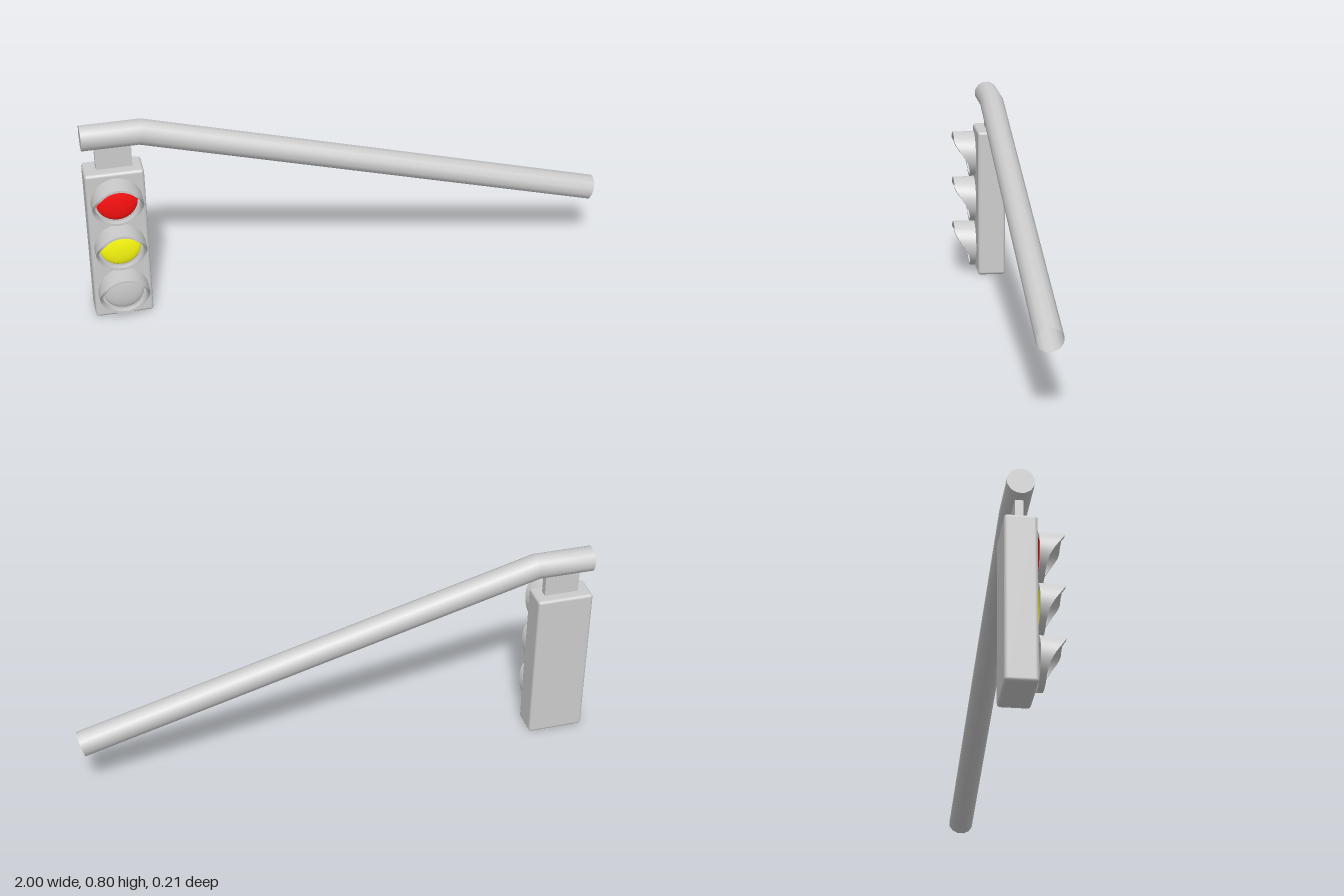
import * as THREE from 'three';
import { toCreasedNormals } from 'three/addons/utils/BufferGeometryUtils.js';
import { RoundedBoxGeometry } from 'three/addons/geometries/RoundedBoxGeometry.js';

const SIGNAL_X = -0.89, MID_Z = -0.047;

function mesh(name, geometry, material, x = 0, y = 0, z = 0) {
  const m = new THREE.Mesh(geometry, material);
  m.name = name;
  m.position.set(x, y, z);
  return m;
}

// Bent pole: a 12-sided tube whose three rings sit at the end, the mitred bend and the tip
function poleGeometry(radius) {
  const start = [-1, 0.7525], bend = [-0.78, 0.7525], tip = [0.987, 0.265];
  const a = Math.atan2(bend[1] - tip[1], tip[0] - bend[0]);
  const rings = [
    { p: start, up: [0, 1] },
    { p: bend, up: [Math.tan(a / 2), 1] },
    { p: tip, up: [Math.sin(a), Math.cos(a)] },
  ];
  const g = new THREE.CylinderGeometry(radius, radius, 2, 12, 2, true).rotateY(Math.PI / 12);
  const pos = g.attributes.position;
  for (let i = 0; i < pos.count; i++) {
    const { p, up } = rings[Math.round(pos.getY(i)) + 1];
    const h = -pos.getX(i);
    pos.setXYZ(i, p[0] + h * up[0], p[1] + h * up[1], pos.getZ(i));
  }
  return toCreasedNormals(g, 0.7);
}

// Side outline of the visor: [height / radius, front z]
const OUTLINE = [[-1, 0.04], [-0.68, 0.041], [-0.32, 0.05], [0, 0.067], [0.42, 0.094], [0.66, 0.107], [1, 0.107]];
function visorFront(t) {
  let k = 1;
  while (k < OUTLINE.length - 1 && t > OUTLINE[k][0]) k++;
  const [t0, z0] = OUTLINE[k - 1], [t1, z1] = OUTLINE[k];
  return THREE.MathUtils.mapLinear(t, t0, t1, z0, z1);
}

// Visor: a thin-walled ring with its front edge cut to the outline
function visorGeometry(outer, inner, back) {
  const n = 40, points = [], index = [];
  for (let i = 0; i < n; i++) {
    const c = Math.cos((i / n) * Math.PI * 2), s = Math.sin((i / n) * Math.PI * 2);
    const front = visorFront(s);
    for (const [r, z] of [[outer, back], [outer, front], [inner, front], [inner, back]]) {
      points.push(c * r, s * r, z);
    }
    for (let k = 0; k < 4; k++) {
      const j = (i + 1) % n, l = (k + 1) % 4;
      const q = [i * 4 + k, j * 4 + k, j * 4 + l, i * 4 + l];
      index.push(q[0], q[1], q[2], q[0], q[2], q[3]);
    }
  }
  const g = new THREE.BufferGeometry();
  g.setAttribute('position', new THREE.Float32BufferAttribute(points, 3));
  g.setIndex(index);
  return toCreasedNormals(g, 0.7);
}

// Lens: a shallow dome facing +z
function lensGeometry(radius, height) {
  const profile = [];
  for (let i = 0; i <= 8; i++) {
    const a = (i / 8) * Math.PI / 2;
    profile.push(new THREE.Vector2(radius * Math.cos(a), height * Math.sin(a)));
  }
  profile[8].x = 0;
  return new THREE.LatheGeometry(profile, 32).rotateX(Math.PI / 2);
}

export function createModel() {
  const model = new THREE.Group();
  model.name = 'trafficLight';
  const grey = new THREE.MeshStandardMaterial({ color: 0xcccccc });
  const greyThin = new THREE.MeshStandardMaterial({ color: 0xcccccc, side: THREE.DoubleSide });
  const lensMaterial = (color) => new THREE.MeshStandardMaterial({ color, side: THREE.DoubleSide });

  // Pole, open at the tip and closed above the signal
  const radius = 0.049;
  model.add(mesh('pole', poleGeometry(radius), greyThin, 0, 0, MID_Z));
  const cap = mesh('poleCap', new THREE.CircleGeometry(radius, 12, Math.PI / 12), grey, -1, 0.7525, MID_Z);
  cap.rotation.y = -Math.PI / 2;
  model.add(cap);

  // Hanger and housing
  model.add(mesh('hanger', new THREE.BoxGeometry(0.135, 0.12, 0.03), grey, SIGNAL_X + 0.005, 0.67, MID_Z));
  model.add(mesh('housing', new RoundedBoxGeometry(0.22, 0.622, 0.115, 3, 0.012), grey, SIGNAL_X, 0.311, MID_Z));

  // Three lights, each with a visor, a rim and a lens
  const visor = visorGeometry(0.0955, 0.086, 0.018);
  const rim = new THREE.RingGeometry(0.077, 0.087, 40);
  const lens = lensGeometry(0.078, 0.018);
  const lights = [['red', 0xff1010, 0.51], ['yellow', 0xffff10, 0.3135], ['lower', 0xcccccc, 0.1175]];
  for (const [name, color, y] of lights) {
    const light = new THREE.Group();
    light.name = name + 'Light';
    light.position.set(SIGNAL_X, y, 0);
    light.add(mesh('visor', visor, grey));
    light.add(mesh('lensRim', rim, greyThin, 0, 0, 0.021));
    light.add(mesh('lens', lens, lensMaterial(color), 0, 0, 0.02));
    model.add(light);
  }
  return model;
}
